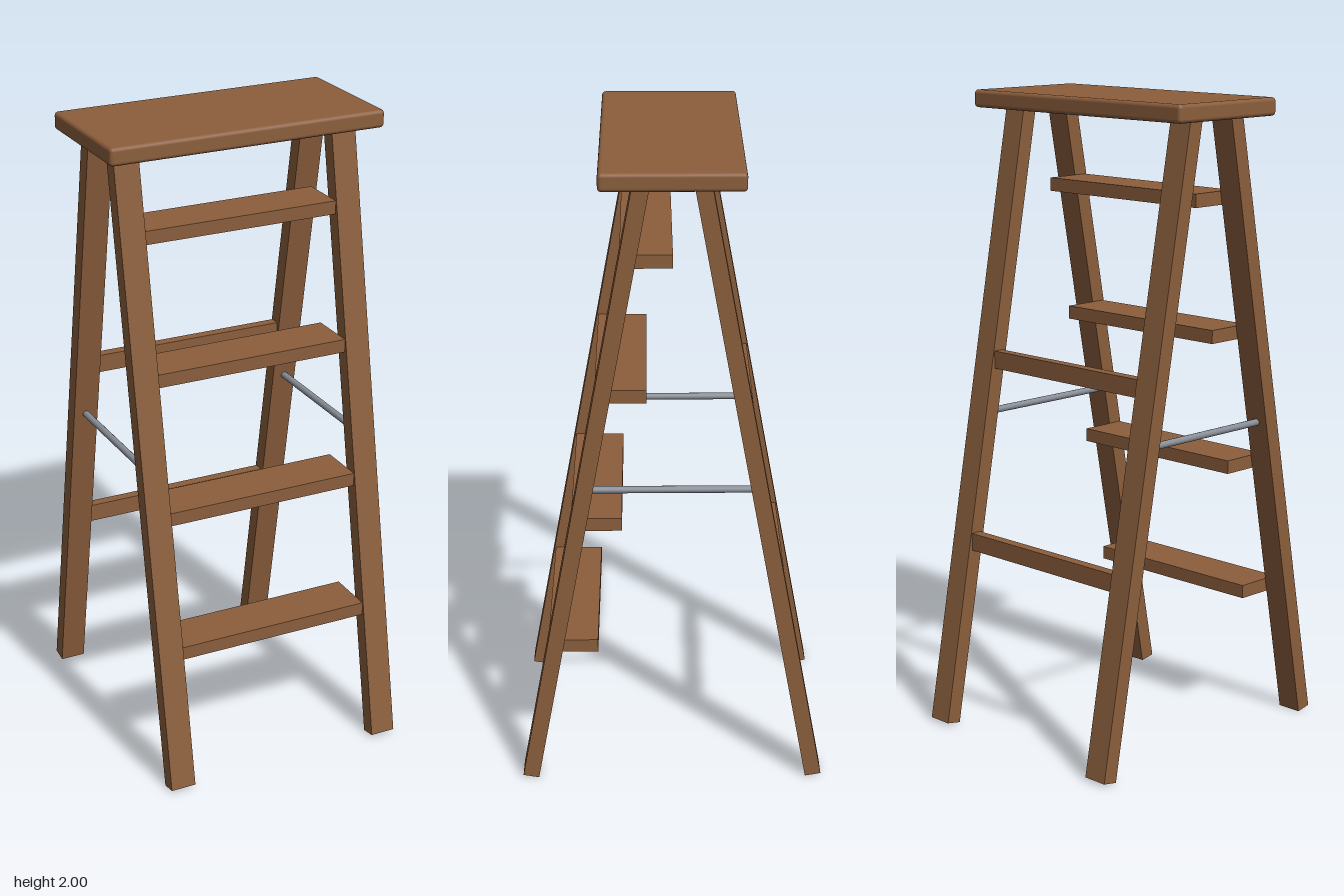
import * as THREE from 'three';
import { RoundedBoxGeometry } from 'three/addons/geometries/RoundedBoxGeometry.js';

export function createModel() {
  const model = new THREE.Group();
  model.name = 'stepladder';

  const wood = new THREE.MeshStandardMaterial({ color: 0x8b5e3c });
  wood.name = 'wood';
  const metal = new THREE.MeshStandardMaterial({ color: 0x8a8f98 });
  metal.name = 'metal';

  function add(name, geometry, material, x, y, z) {
    const mesh = new THREE.Mesh(geometry, material);
    mesh.name = name;
    mesh.position.set(x, y, z);
    model.add(mesh);
    return mesh;
  }

  const legX = 0.355, legWidth = 0.08, legDepth = 0.05;
  const innerWidth = 2 * legX - legWidth;
  const footY = 0.0045, footZ = 0.446, slope = 0.184;
  const legZ = (y) => footZ - slope * (y - footY); // centre line of a leg

  // Top platform with softened edges
  add('topPlatform', new RoundedBoxGeometry(0.886, 0.055, 0.42, 3, 0.012), wood, 0, 1.9725, 0);

  // Four splayed legs, ending just inside the platform
  const legTopY = 1.96;
  const tilt = Math.atan(slope);
  const legGeometry = new THREE.BoxGeometry(legWidth, (legTopY - footY) / Math.cos(tilt), legDepth);
  const midY = (legTopY + footY) / 2;
  for (const side of [-1, 1]) {
    for (const end of [-1, 1]) {
      const leg = add(end > 0 ? 'frontLeg' : 'backLeg', legGeometry, wood,
        side * legX, midY, end * legZ(midY));
      leg.rotation.x = -end * tilt;
    }
  }

  // Four flat treads between the front legs
  const treadGeometry = new THREE.BoxGeometry(innerWidth, 0.042, 0.155);
  for (let i = 0; i < 4; i++) {
    const y = 0.432 + 0.422 * i;
    add('tread', treadGeometry, wood, 0, y, legZ(y) - 0.06);
  }

  // Two rungs between the back legs
  const rungGeometry = new THREE.BoxGeometry(innerWidth, 0.056, 0.034);
  for (const y of [0.589, 1.164]) add('backRung', rungGeometry, wood, 0, y, -legZ(y));

  // Metal spreader rods joining front and back legs
  const rodGeometry = new THREE.CylinderGeometry(0.011, 0.011, 0.484, 12).rotateX(Math.PI / 2);
  for (const side of [-1, 1]) add('spreaderRod', rodGeometry, metal, side * legX, 0.991, 0);

  return model;
}
